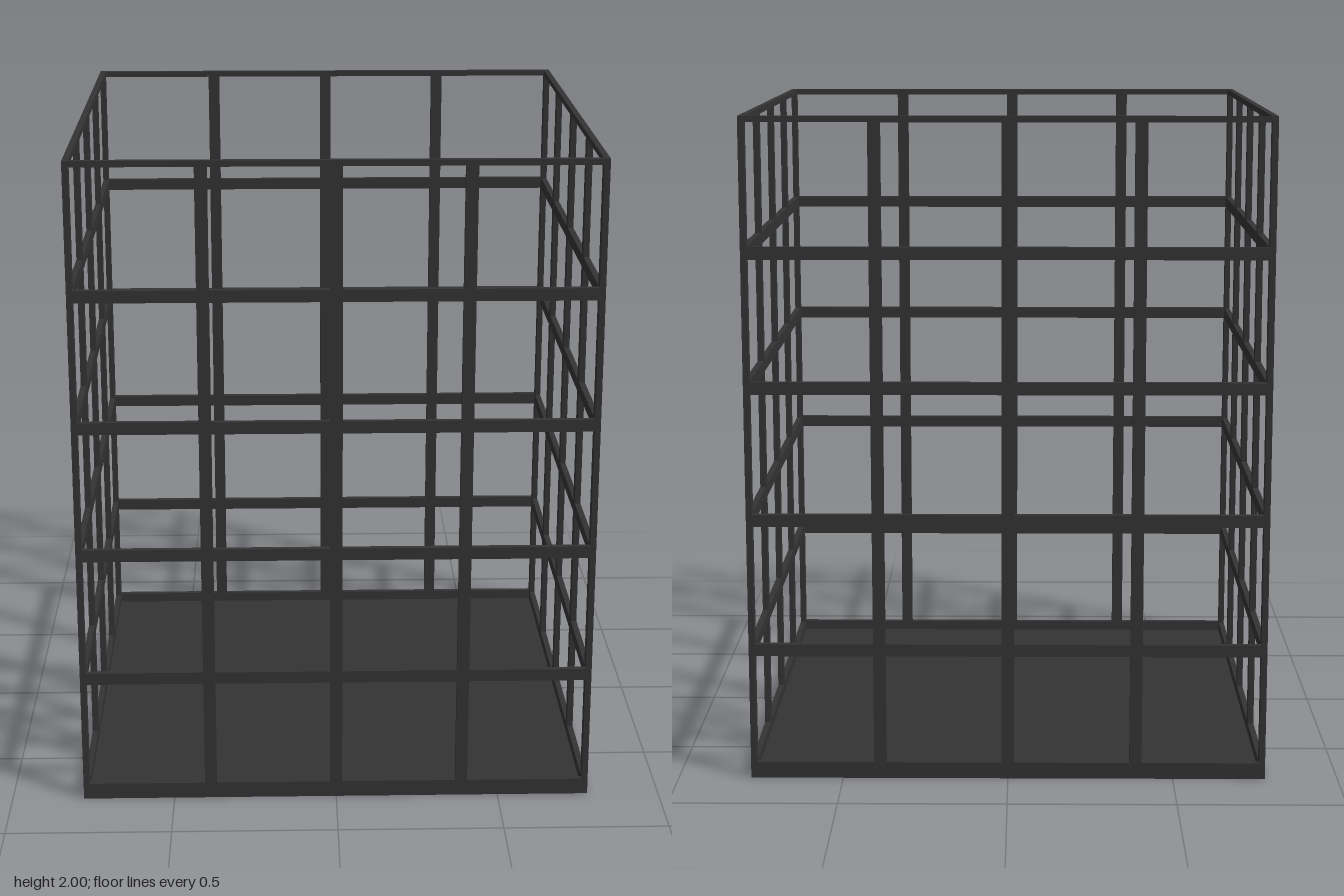
import * as THREE from 'three';

const HALF = 0.78;    // half of the square footprint
const HEIGHT = 2;
const BAR = 0.037;    // face width of a bar
const THIN = 0.018;   // depth of a bar, thickness of floor and top rail

export function createModel() {
  const model = new THREE.Group();
  model.name = 'openCage';
  const material = new THREE.MeshStandardMaterial({ color: 0x333333 });

  const box = (parent, name, w, h, d, x, y, z) => {
    const mesh = new THREE.Mesh(new THREE.BoxGeometry(w, h, d), material);
    mesh.name = name;
    mesh.position.set(x, y, z);
    parent.add(mesh);
  };

  // Solid floor plate
  box(model, 'floor', 2 * HALF, THIN, 2 * HALF, 0, THIN / 2, 0);

  // One lattice wall, built facing +z; span is its length along x
  const addWall = (name, angle, span, cornerPosts) => {
    const wall = new THREE.Group();
    wall.name = name;
    wall.rotation.y = angle;
    const z = HALF - THIN / 2;
    const postHeight = HEIGHT - 2 * THIN;

    // Inner uprights
    for (const x of [-0.387, 0, 0.387]) {
      box(wall, 'upright', BAR, postHeight, THIN, x, HEIGHT / 2, z);
    }
    // Corner posts belong to the side walls only
    if (cornerPosts) {
      for (const s of [-1, 1]) {
        box(wall, 'cornerPost', BAR, postHeight, THIN, s * (HALF - BAR / 2), HEIGHT / 2, z);
      }
    }
    // Rails: bottom, four middle ones and the slim top
    box(wall, 'bottomRail', span, 0.032, THIN, 0, THIN + 0.016, z);
    for (let i = 1; i <= 4; i++) {
      box(wall, 'middleRail', span, BAR, THIN, 0, 0.002 + 0.4 * i, z);
    }
    box(wall, 'topRail', span, THIN, THIN, 0, HEIGHT - THIN / 2, z);
    model.add(wall);
  };

  // Front and back fit between the two side walls
  addWall('frontWall', 0, 2 * (HALF - THIN), false);
  addWall('backWall', Math.PI, 2 * (HALF - THIN), false);
  addWall('leftWall', Math.PI / 2, 2 * HALF, true);
  addWall('rightWall', -Math.PI / 2, 2 * HALF, true);

  return model;
}
